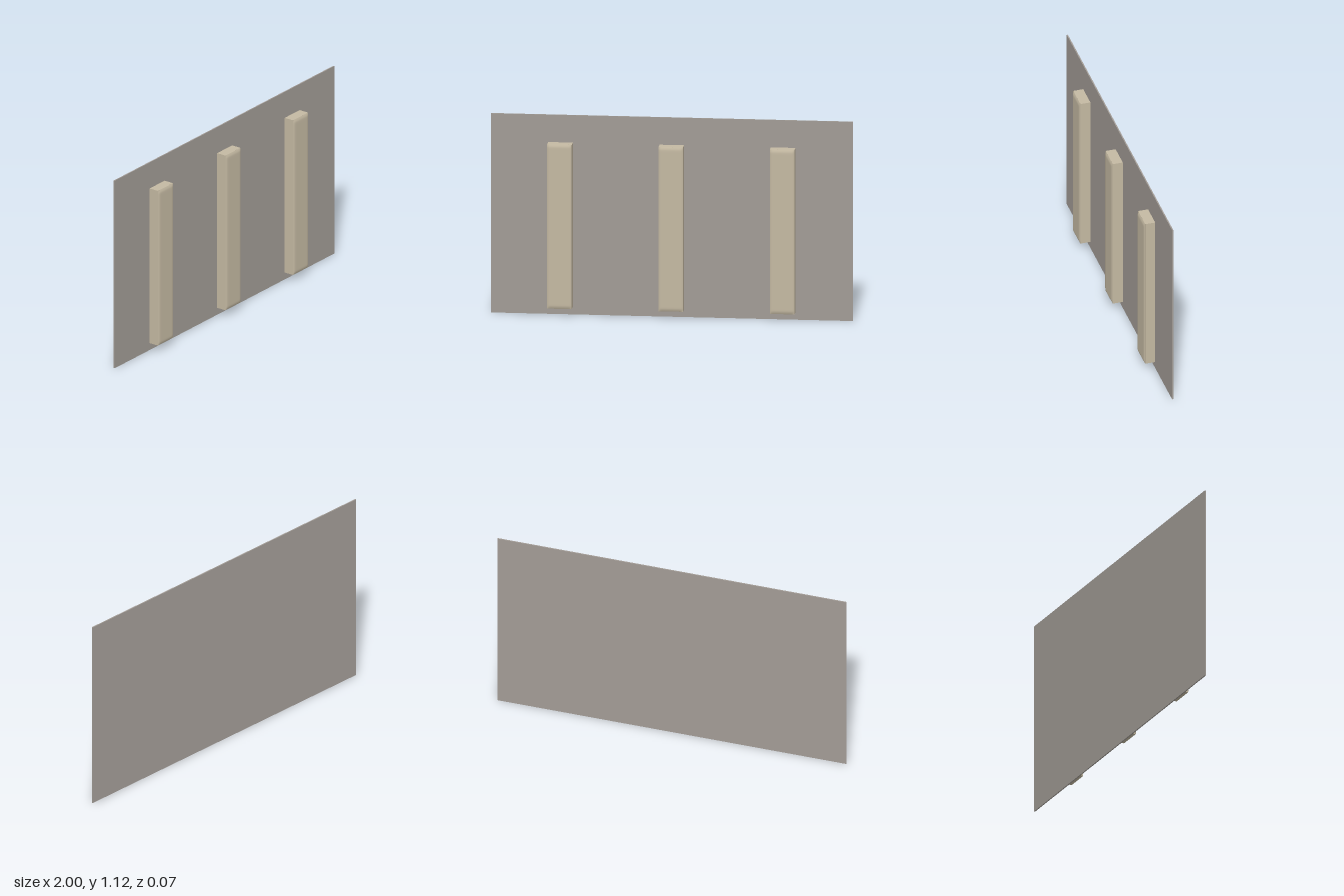
import * as THREE from 'three';

const W = 0.136, H = 0.924, MID_Y = 0.504;   // bar size and centre height
const BACK = -0.027, FACE = 0.03, PUFF = 0.006;

// Front cushion: a flat sheet that swells smoothly away from its edges
function cushionGeometry(w, h) {
  const geo = new THREE.PlaneGeometry(w, h, 24, 96);
  const pos = geo.attributes.position;
  const rise = (d) => {
    const t = Math.min(1, Math.max(0, d / 0.022));
    return Math.sqrt(1 - (1 - t) ** 2);
  };
  for (let i = 0; i < pos.count; i++) {
    const dx = w / 2 - Math.abs(pos.getX(i));
    const dy = h / 2 - Math.abs(pos.getY(i));
    pos.setZ(i, PUFF * rise(dx) * rise(dy));
  }
  geo.computeVertexNormals();
  return geo;
}

export function createModel() {
  const model = new THREE.Group();
  model.name = 'panelWithBars';

  const greyPanel = new THREE.MeshStandardMaterial({ color: 0xa29c96 });
  greyPanel.name = 'warmGrey';
  const beige = new THREE.MeshStandardMaterial({ color: 0xc4b9a2 });
  beige.name = 'beige';

  // Thin backing panel
  const panel = new THREE.Mesh(new THREE.BoxGeometry(2, 1.12, 0.007), greyPanel);
  panel.name = 'backPanel';
  panel.position.set(0, 0.56, -0.0315);
  model.add(panel);

  // Three upright bars, each a block with a softly padded front
  const blockGeo = new THREE.BoxGeometry(W, H, FACE - BACK);
  const padGeo = cushionGeometry(W, H);
  for (const [x, name] of [[-0.615, 'rightBar'], [0, 'middleBar'], [0.615, 'leftBar']]) {
    const bar = new THREE.Group();
    bar.name = name;
    bar.position.set(x, MID_Y, 0);

    const block = new THREE.Mesh(blockGeo, beige);
    block.name = 'barBlock';
    block.position.z = (FACE + BACK) / 2;

    const pad = new THREE.Mesh(padGeo, beige);
    pad.name = 'barCushion';
    pad.position.z = FACE + 0.0003;

    bar.add(block, pad);
    model.add(bar);
  }
  return model;
}
